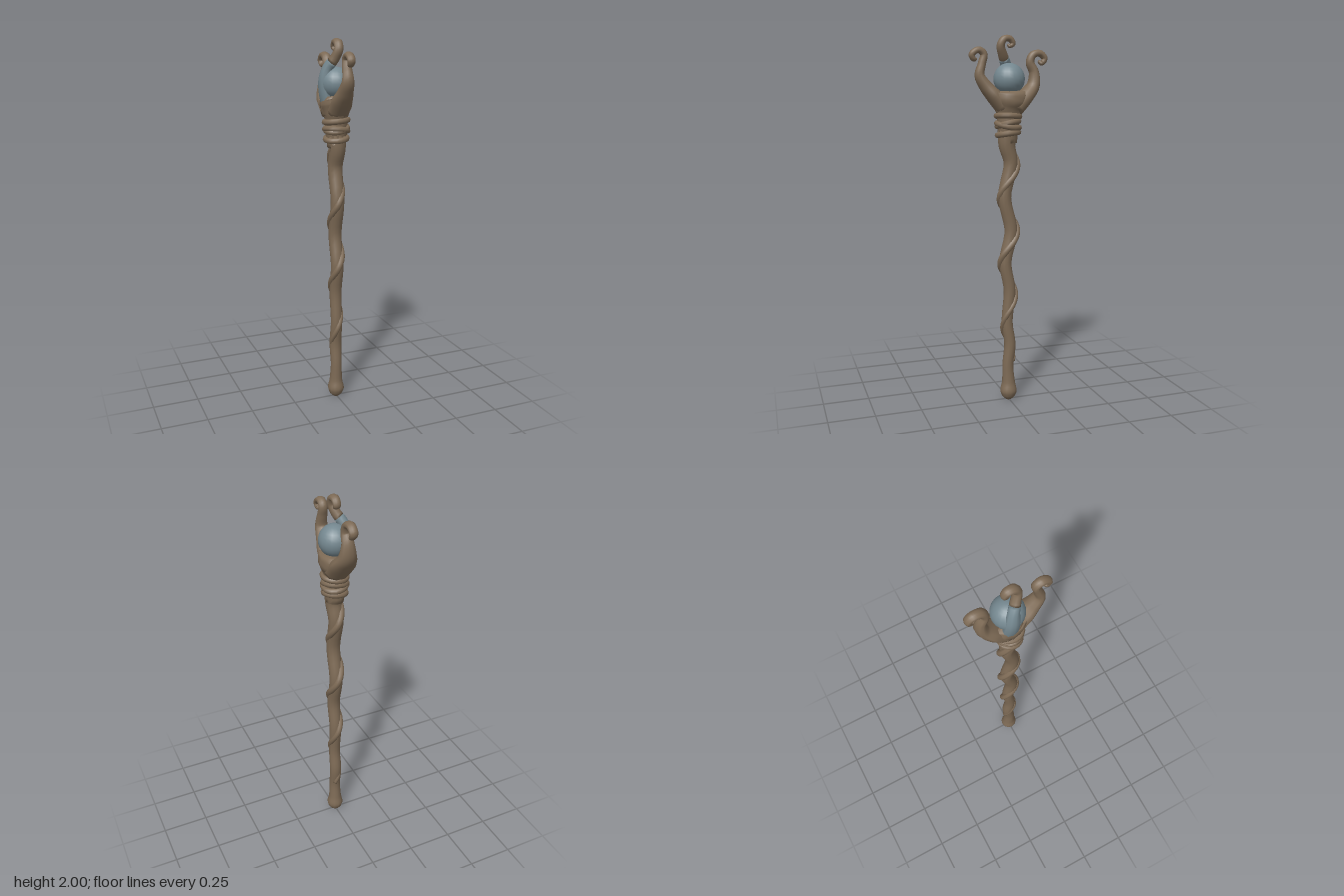
import * as THREE from 'three';

// Sweeps an oval section along points [x, y, z, halfWidth, halfThickness]; from/to pick a stretch of the path.
function sweep(points, steps, sides = 10, from = 0, to = 1) {
  const path = new THREE.CatmullRomCurve3(points.map(p => new THREE.Vector3(p[0], p[1], p[2])));
  const size = new THREE.CatmullRomCurve3(points.map(p => new THREE.Vector3(p[3], p[4], 0)));
  const pos = [], idx = [];
  for (let i = 0; i <= steps; i++) {
    const u = from + (to - from) * i / steps;
    const c = path.getPoint(u), r = size.getPoint(u), t = path.getTangent(u);
    const side = new THREE.Vector3(1, 0, 0).addScaledVector(t, -t.x).normalize();
    const normal = side.clone().cross(t);
    for (let j = 0; j < sides; j++) {
      const a = j / sides * Math.PI * 2;
      const p = c.clone().addScaledVector(side, Math.cos(a) * r.x).addScaledVector(normal, Math.sin(a) * r.y);
      pos.push(p.x, p.y, p.z);
      if (i < steps) {
        const k = i * sides, n = (j + 1) % sides;
        idx.push(k + j, k + sides + j, k + n, k + n, k + sides + j, k + sides + n);
      }
    }
  }
  // End caps
  const last = steps * sides;
  for (let j = 1; j < sides - 1; j++) {
    idx.push(0, j, j + 1, last, last + j + 1, last + j);
  }
  const g = new THREE.BufferGeometry();
  g.setAttribute('position', new THREE.Float32BufferAttribute(pos, 3));
  g.setIndex(idx);
  g.computeVertexNormals();
  return g;
}

export function createModel() {
  const wood = new THREE.MeshStandardMaterial({ color: 0x7d6a55 });
  wood.name = 'brown wood';
  const stone = new THREE.MeshStandardMaterial({ color: 0x74878f });
  stone.name = 'blue grey stone';
  const group = new THREE.Group();
  group.name = 'staff';
  const add = (name, geometry, material = wood) => {
    const m = new THREE.Mesh(geometry, material);
    m.name = name;
    group.add(m);
    return m;
  };

  // Gently crooked shaft with a knobbed foot
  add('shaft', sweep([
    [0, 0, 0, 0.018, 0.018], [0, 0.018, 0, 0.036, 0.036], [0, 0.05, 0, 0.046, 0.047],
    [0, 0.1, 0, 0.036, 0.037], [0, 0.2, 0.004, 0.031, 0.031], [0, 0.32, -0.008, 0.034, 0.032],
    [0, 0.45, 0.008, 0.032, 0.031], [0, 0.63, -0.006, 0.034, 0.033], [0, 0.79, 0.018, 0.035, 0.034],
    [0, 0.96, -0.014, 0.036, 0.036], [0, 1.15, 0.022, 0.037, 0.036], [0, 1.33, -0.012, 0.04, 0.038],
    [0.002, 1.43, 0.01, 0.045, 0.046], [0, 1.5, 0.003, 0.055, 0.056],
  ], 60, 12));

  // Vine winding up the shaft, sinking into the wood towards the foot
  const vine = [];
  for (let i = 0; i <= 36; i++) {
    const y = 0.22 + i / 36 * 1.25;
    const a = (y - 1.15) / 0.36 * Math.PI * 2;
    const grow = Math.min(1, (y - 0.1) / 0.75);
    const r = 0.018 * (0.6 + 0.4 * grow);
    vine.push([Math.sin(a) * (0.022 + 0.006 * grow), y, Math.cos(a) * (0.023 + 0.026 * grow), r, r]);
  }
  add('vine', sweep(vine, 100, 8));

  // Flared head that holds the orb
  add('head', sweep([
    [0, 1.44, 0.003, 0.047, 0.048], [0, 1.53, 0.003, 0.058, 0.058], [0, 1.59, 0, 0.06, 0.064],
    [0, 1.625, 0, 0.07, 0.076], [0.002, 1.66, -0.005, 0.082, 0.1], [0.002, 1.69, -0.012, 0.078, 0.108],
    [0, 1.708, -0.012, 0.05, 0.08],
  ], 24, 14));

  // Cord wraps: tilted rings below the head
  [[1.488, 0.12, 0.1, 0.056], [1.532, -0.16, -0.14, 0.06], [1.54, 0.2, 0.16, 0.058], [1.58, -0.06, 0.08, 0.061]]
    .forEach(([y, tiltX, tiltZ, r]) => {
      const ring = add('cordWrap', new THREE.TorusGeometry(r, 0.0155, 8, 20).rotateX(Math.PI / 2));
      ring.position.set(0, y, 0.003);
      ring.rotation.set(tiltX, 0, tiltZ);
    });

  // Claws curling outward at front and back
  add('frontClaw', sweep([
    [0, 1.63, 0.03, 0.062, 0.045], [0, 1.69, 0.085, 0.058, 0.04], [0, 1.735, 0.125, 0.044, 0.034],
    [0, 1.79, 0.158, 0.034, 0.026], [0, 1.85, 0.146, 0.027, 0.021], [0, 1.9, 0.135, 0.024, 0.019],
    [0, 1.921, 0.165, 0.024, 0.017], [0, 1.896, 0.2, 0.022, 0.016], [0, 1.873, 0.188, 0.018, 0.013],
    [0, 1.876, 0.174, 0.008, 0.007],
  ], 48));
  add('backClaw', sweep([
    [0, 1.62, -0.03, 0.072, 0.05], [0, 1.685, -0.095, 0.072, 0.042], [0, 1.74, -0.138, 0.05, 0.034],
    [0, 1.81, -0.142, 0.034, 0.026], [0, 1.86, -0.12, 0.028, 0.022], [0, 1.9, -0.136, 0.026, 0.02],
    [0, 1.908, -0.175, 0.025, 0.018], [0, 1.882, -0.202, 0.023, 0.016], [0, 1.857, -0.185, 0.018, 0.013],
    [0, 1.868, -0.168, 0.008, 0.007],
  ], 48));

  // Tall side claw: stone-coloured stem below, wooden curl above
  const sideClaw = [
    [-0.045, 1.67, -0.015, 0.03, 0.045], [-0.057, 1.73, -0.015, 0.03, 0.042], [-0.06, 1.79, -0.012, 0.03, 0.038],
    [-0.046, 1.85, 0, 0.028, 0.03], [-0.018, 1.9, 0.026, 0.026, 0.025], [-0.002, 1.945, 0.042, 0.025, 0.021],
    [0, 1.979, 0.024, 0.025, 0.018], [0, 1.98, -0.008, 0.023, 0.016], [0, 1.955, -0.024, 0.02, 0.014],
    [0, 1.942, -0.006, 0.014, 0.01], [0, 1.952, 0.004, 0.007, 0.006],
  ];
  add('sideClawStem', sweep(sideClaw, 20, 10, 0, 0.36), stone);
  add('sideClawCurl', sweep(sideClaw, 34, 10, 0.36, 1));
  add('sideClawRoot', sweep([
    [-0.02, 1.62, -0.01, 0.05, 0.06], [-0.035, 1.67, -0.015, 0.044, 0.075], [-0.04, 1.71, -0.015, 0.03, 0.06],
  ], 8));

  // Orb
  add('orb', new THREE.SphereGeometry(0.083, 20, 14), stone).position.set(0.002, 1.774, -0.003);

  return group;
}
